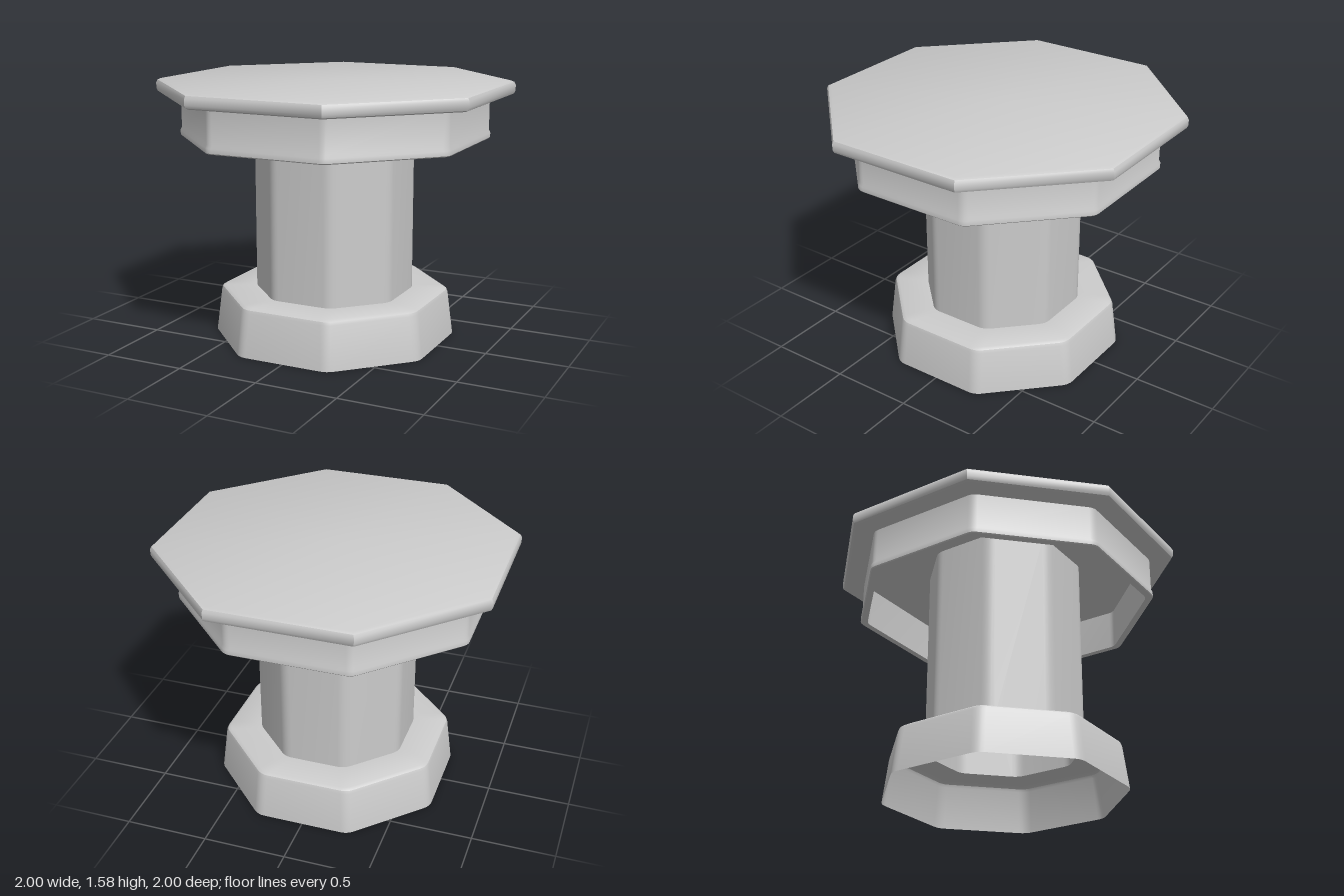
import * as THREE from 'three';
import { toCreasedNormals } from 'three/addons/utils/BufferGeometryUtils.js';

const SIDES = 8;
const STEP = (Math.PI * 2) / SIDES;

// Outline of an octagon with the given apothem, its corners rounded by a fillet
function octagon(apothem, fillet, segments) {
  const r = Math.min(fillet, apothem);
  const c = (apothem - r) / Math.cos(STEP / 2);
  const points = [];
  for (let k = 0; k < SIDES; k++) {
    const corner = (k + 0.5) * STEP;
    for (let j = 0; j <= segments; j++) {
      const a = segments ? (k + j / segments) * STEP : corner;
      points.push([
        c * Math.sin(corner) + r * Math.sin(a),
        c * Math.cos(corner) + r * Math.cos(a),
      ]);
    }
  }
  return points;
}

// Skin octagonal rings along a profile of [apothem, y] pairs
function loft(profile, fillet, segments) {
  const rings = profile.map(([apothem, y]) =>
    octagon(apothem, fillet, segments).map(([x, z]) => [x, y, z]));
  const positions = [];
  for (let i = 0; i < rings.length - 1; i++) {
    const lower = rings[i], upper = rings[i + 1];
    for (let k = 0; k < lower.length; k++) {
      const n = (k + 1) % lower.length;
      if (profile[i][0] > 0) positions.push(...lower[k], ...lower[n], ...upper[n]);
      if (profile[i + 1][0] > 0) positions.push(...lower[k], ...upper[n], ...upper[k]);
    }
  }
  const geometry = new THREE.BufferGeometry();
  geometry.setAttribute('position', new THREE.Float32BufferAttribute(positions, 3));
  return toCreasedNormals(geometry, 0.6);
}

export function createModel() {
  const group = new THREE.Group();
  const solid = new THREE.MeshStandardMaterial({ color: 0xcccccc });
  const shell = new THREE.MeshStandardMaterial({ color: 0xcccccc, side: THREE.DoubleSide });

  function add(name, profile, fillet, segments, material) {
    const mesh = new THREE.Mesh(loft(profile, fillet, segments), material);
    mesh.name = name;
    group.add(mesh);
  }

  // Slab with a softened rim and crisp corners
  add('tableTop', [
    [0, 1.495], [0.975, 1.495], [0.992, 1.503], [1, 1.52],
    [1, 1.555], [0.992, 1.572], [0.975, 1.58], [0, 1.58],
  ], 0, 0, solid);

  // Hollow skirt under the slab with a bead along its lower edge
  add('apron', [
    [0.83, 1.495], [0.83, 1.235], [0.868, 1.235], [0.874, 1.241],
    [0.874, 1.268], [0.866, 1.285], [0.866, 1.495],
  ], 0.07, 3, solid);

  // Hollow pillar, open towards the floor
  add('column', [[0.455, 0.295], [0.455, 1.495]], 0.1, 4, shell);

  // Tapered foot, open below, with a ledge that meets the pillar
  add('base', [
    [0.692, 0], [0.66, 0.265], [0.653, 0.283], [0.635, 0.295], [0.455, 0.295],
  ], 0.1, 4, shell);

  return group;
}
